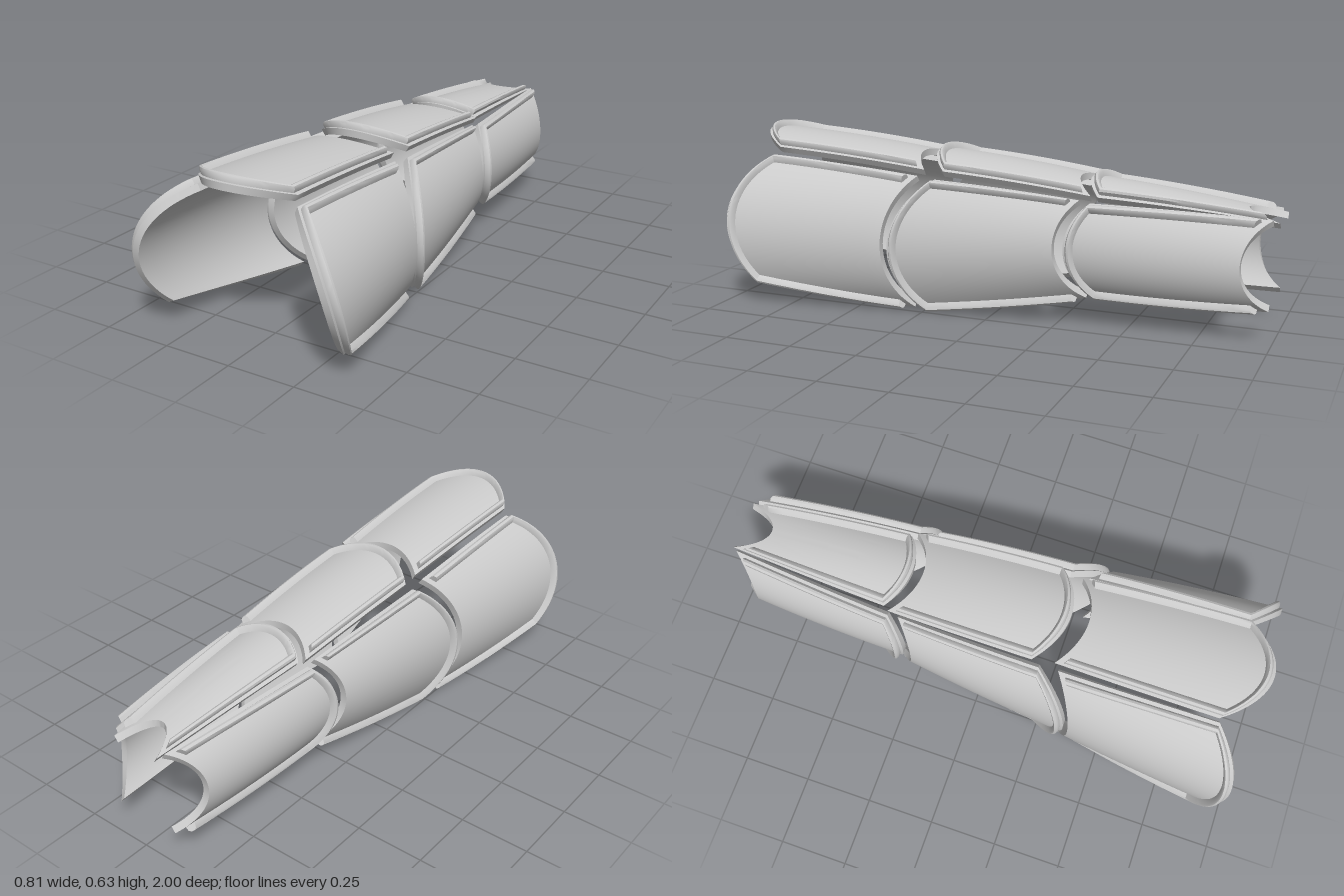
import * as THREE from 'three';
import { mergeGeometries, toCreasedNormals } from 'three/addons/utils/BufferGeometryUtils.js';

const THICK = 0.025;
// Rim cross-section: [inset from the plate edge, height above the plate]
const RIM = [[0.012, 0], [0.013, 0.016], [0.018, 0.023], [0.026, 0.024], [0.031, 0.019], [0.036, 0]];

// Grid of quads from fn(s, t), both running 0..1
function grid(fn, ns, nt) {
  const pos = [], index = [];
  for (let j = 0; j <= nt; j++) {
    for (let i = 0; i <= ns; i++) pos.push(...fn(i / ns, j / nt));
  }
  for (let j = 0; j < nt; j++) {
    for (let i = 0; i < ns; i++) {
      const a = j * (ns + 1) + i, c = a + ns + 1;
      index.push(a, c, a + 1, a + 1, c, c + 1);
    }
  }
  const g = new THREE.BufferGeometry();
  g.setAttribute('position', new THREE.Float32BufferAttribute(pos, 3));
  g.setIndex(index);
  return g;
}

// Circle through three points, returned as centre, radius, start and end angle (clockwise)
function arc([ax, ay], [bx, by], [cx, cy]) {
  const d = 2 * (ax * (by - cy) + bx * (cy - ay) + cx * (ay - by));
  const a = ax * ax + ay * ay, b = bx * bx + by * by, c = cx * cx + cy * cy;
  const x = (a * (by - cy) + b * (cy - ay) + c * (ay - by)) / d;
  const y = (a * (cx - bx) + b * (ax - cx) + c * (bx - ax)) / d;
  const from = Math.atan2(ay - y, ax - x);
  let to = Math.atan2(cy - y, cx - x);
  while (to > from) to -= 2 * Math.PI;
  return { x, y, r: Math.hypot(ax - x, ay - y), from, to };
}

// Point on a plate: u -1..1 across, v 0..1 from back to front, h above the inner face
function surface({ front, back }) {
  const lerp = THREE.MathUtils.lerp;
  const edgeZ = (e, u) => lerp(e.z[0], e.z[2], (u + 1) / 2) + (e.z[1] - (e.z[0] + e.z[2]) / 2) * (1 - u * u);
  return (u, v, h) => {
    const pts = [0, 1, 2].map(k => [0, 1].map(i => lerp(back.p[k][i], front.p[k][i], v)));
    const c = arc(...pts), ang = lerp(c.from, c.to, (u + 1) / 2);
    const r = c.r + h + 0.024 * v * (1 - v);
    return [c.x + r * Math.cos(ang), c.y + r * Math.sin(ang), lerp(edgeZ(back, u), edgeZ(front, u), v)];
  };
}

// Curved plate, open at the back, with a raised rim along both sides and the front
function makePlate(name, spec, material) {
  const P = surface(spec), N = 28, M = 10;
  const body = mergeGeometries([
    grid((s, t) => P(2 * s - 1, t, THICK), N, M),
    grid((s, t) => P(1 - 2 * s, t, 0), N, M),
    grid((s, t) => P(2 * s - 1, 1, THICK * (1 - t)), N, 1),
    grid((s, t) => P(2 * s - 1, 0, THICK * t), N, 1),
    grid((s, t) => P(1, s, THICK * t), M, 1),
    grid((s, t) => P(-1, 1 - s, THICK * t), M, 1),
  ]);

  // Rim path in plate coordinates, inset by a real distance
  const mid = arc(...spec.front.p);
  const halfWidth = mid.r * (mid.from - mid.to) / 2;
  const length = spec.front.z[1] - spec.back.z[1];
  const total = 2 * M + N;
  const rimPoint = (k, t, lift = 1) => {
    const [inset, h] = RIM[k], step = Math.round(t * total);
    const U = 1 - inset / halfWidth, V = 1 - inset / length, start = 0.04;
    let u = -U, v = V;
    if (step < M) v = start + (V - start) * step / M;
    else if (step <= M + N) u = -U + 2 * U * (step - M) / N;
    else { u = U; v = V + (start - V) * (step - M - N) / M; }
    return P(u, v, THICK - 0.001 + h * lift);
  };
  const last = RIM.length - 1;
  const rim = mergeGeometries([
    grid((s, t) => rimPoint(Math.round(s * last), t), last, total),
    grid((s, t) => rimPoint(Math.round(s * last), 0, t), last, 1),
    grid((s, t) => rimPoint(last - Math.round(s * last), 1, t), last, 1),
  ]);

  const group = new THREE.Group();
  group.name = name;
  for (const [part, g] of [['plate', body], ['rim', rim]]) {
    const mesh = new THREE.Mesh(toCreasedNormals(g, 0.65), material);
    mesh.name = name + (part === 'plate' ? 'Shell' : 'Rim');
    group.add(mesh);
  }
  return group;
}

// Top plate edge: half width, corner height, crown height, corner z, crown z
const topEdge = (w, yc, ym, zc, zm) => ({ p: [[-w, yc], [0, ym], [w, yc]], z: [zc, zm, zc] });
// Side plate edge: upper, middle and lower points of the inner face, with their z
const sideEdge = (a, m, b, z) => ({ p: [a, m, b], z });
const mirrorEdge = e => ({ p: e.p.map(([x, y]) => [-x, y]).reverse(), z: [...e.z].reverse() });

const ROWS = [
  {
    name: 'front',
    top: { front: topEdge(0.175, 0.545, 0.59, 0.86, 0.995), back: topEdge(0.155, 0.495, 0.535, 0.27, 0.34) },
    side: {
      front: sideEdge([0.18, 0.51], [0.355, 0.28], [0.325, 0.09], [0.87, 0.99, 0.87]),
      back: sideEdge([0.17, 0.475], [0.295, 0.26], [0.205, 0.03], [0.29, 0.38, 0.29]),
    },
  },
  {
    name: 'middle',
    top: { front: topEdge(0.168, 0.497, 0.545, 0.19, 0.275), back: topEdge(0.148, 0.445, 0.485, -0.36, -0.28) },
    side: {
      front: sideEdge([0.175, 0.47], [0.28, 0.26], [0.2, 0.02], [0.22, 0.36, 0.23]),
      back: sideEdge([0.15, 0.43], [0.225, 0.27], [0.145, 0.12], [-0.32, -0.25, -0.35]),
    },
  },
  {
    name: 'rear',
    top: { front: topEdge(0.13, 0.44, 0.483, -0.38, -0.32), back: topEdge(0.08, 0.39, 0.415, -1, -0.88) },
    side: {
      front: sideEdge([0.15, 0.425], [0.21, 0.27], [0.14, 0.125], [-0.36, -0.285, -0.39]),
      back: sideEdge([0.095, 0.4], [0.175, 0.27], [0.11, 0.13], [-0.98, -0.89, -0.98]),
    },
  },
];

export function createModel() {
  const model = new THREE.Group();
  model.name = 'forearmArmour';
  const material = new THREE.MeshStandardMaterial({ color: 0xcccccc });
  for (const { name, top, side } of ROWS) {
    const mirrored = { front: mirrorEdge(side.front), back: mirrorEdge(side.back) };
    model.add(
      makePlate(name + 'TopPlate', top, material),
      makePlate(name + 'LeftPlate', side, material),
      makePlate(name + 'RightPlate', mirrored, material),
    );
  }
  return model;
}
